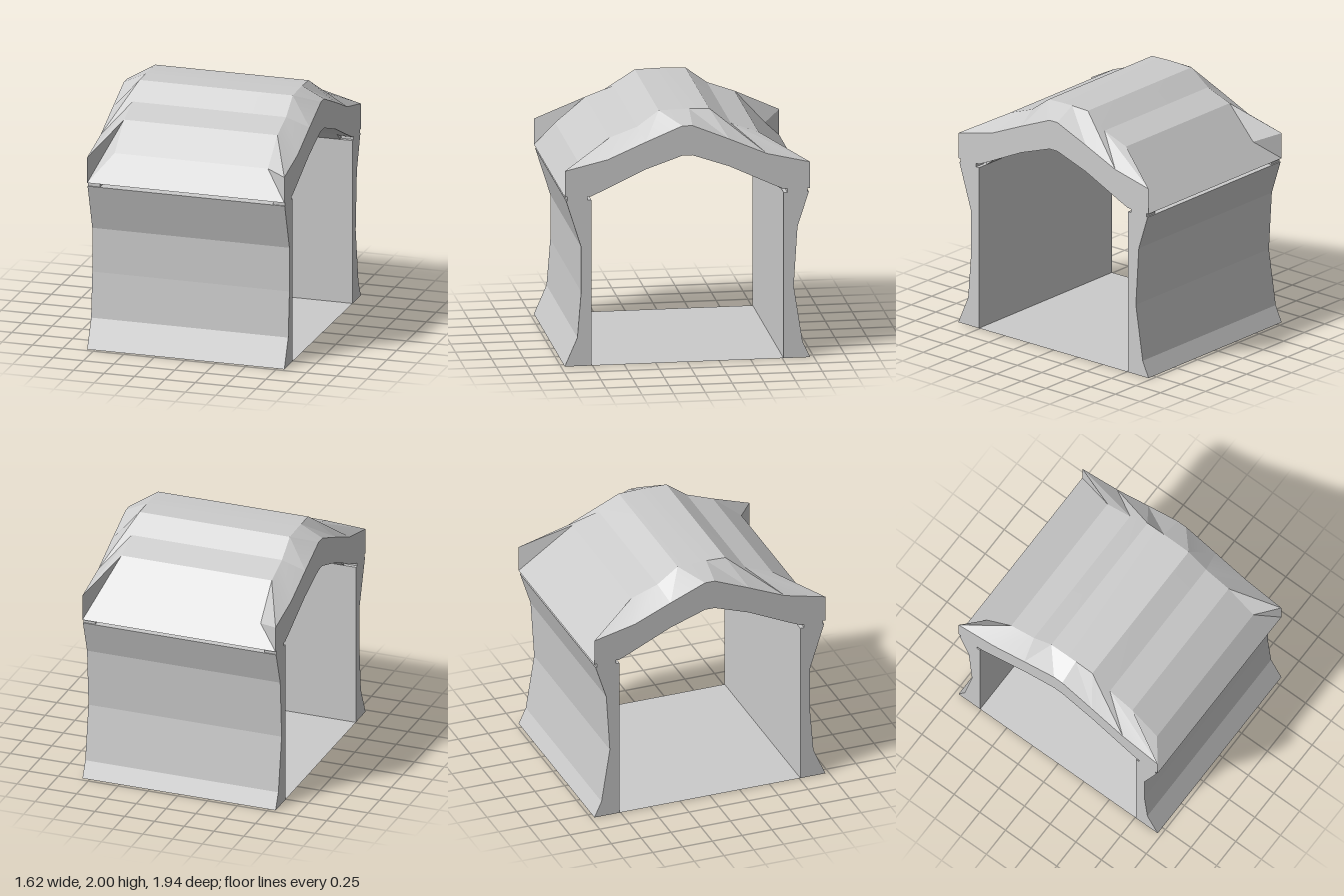
import * as THREE from 'three';
import { toCreasedNormals } from 'three/addons/utils/BufferGeometryUtils.js';

const W = 0.81; // half width along x

const flatMat = new THREE.MeshStandardMaterial({ color: 0xcccccc, flatShading: true, side: THREE.DoubleSide });
const smoothMat = new THREE.MeshStandardMaterial({ color: 0xcccccc, side: THREE.DoubleSide });

function addMesh(group, name, geometry, material = flatMat) {
  const mesh = new THREE.Mesh(geometry, material);
  mesh.name = name;
  group.add(mesh);
  return mesh;
}

// Extrude a [z, y] profile along x, centred on x = 0
function prism(profile, halfWidth) {
  const shape = new THREE.Shape(profile.map(([z, y]) => new THREE.Vector2(-z, y)));
  const geo = new THREE.ExtrudeGeometry(shape, { depth: 2 * halfWidth, bevelEnabled: false });
  geo.translate(0, 0, -halfWidth);
  geo.rotateY(Math.PI / 2);
  return geo;
}

// Complete a front half profile with its mirror behind the ridge
const mirrored = (half) => [...half, ...half.map(([z, y]) => [-z, y]).reverse()];

// Roof shell lofted across x: gable ends are lower, the middle is raised
function roofGeometry() {
  const gable = mirrored([[0.97, 1.37], [0.97, 1.58], [0.63, 1.66], [0.33, 1.79], [0.04, 1.91]]);
  const middle = mirrored([[0.83, 1.59], [0.59, 1.79], [0.37, 1.87], [0.2, 1.995], [0.04, 2]]);
  middle[middle.length - 1] = [-0.83, 1.525]; // back eave runs straight
  const under = mirrored([[0.97, 1.37], [0.76, 1.37], [0.67, 1.41], [0.33, 1.57], [0.04, 1.67]]);
  const n = under.length;

  const stations = [[-W, gable], [-0.63, middle], [0.63, middle], [W, gable]];
  const rings = stations.map(([x, top]) =>
    [...top, ...[...under].reverse()].map(([z, y]) => new THREE.Vector3(x, y, z)));

  const positions = [];
  const tri = (a, b, c) => {
    if (new THREE.Triangle(a, b, c).getArea() < 1e-6) return;
    for (const v of [a, b, c]) positions.push(v.x, v.y, v.z);
  };
  const quad = (a, b, c, d) => { tri(a, b, c); tri(a, c, d); };

  // Skin between neighbouring stations
  for (let i = 0; i < 3; i++) {
    for (let j = 0; j < 2 * n; j++) {
      const k = (j + 1) % (2 * n);
      quad(rings[i][j], rings[i + 1][j], rings[i + 1][k], rings[i][k]);
    }
  }
  // Gable faces, joining each top point to the one below
  const [left, right] = [rings[3], rings[0]];
  for (let j = 0; j < n - 1; j++) {
    const b = 2 * n - 1 - j;
    quad(left[j], left[b], left[b - 1], left[j + 1]);
    quad(right[j], right[j + 1], right[b - 1], right[b]);
  }
  const geo = new THREE.BufferGeometry();
  geo.setAttribute('position', new THREE.Float32BufferAttribute(positions, 3));
  return toCreasedNormals(geo, 0.2);
}

export function createModel() {
  const model = new THREE.Group();
  model.name = 'shelter';

  // Walls with waisted outer faces
  addMesh(model, 'frontWall', prism([[0.76, 0], [0.97, 0], [0.87, 0.23], [0.84, 0.6],
    [0.84, 0.96], [0.96, 1.34], [0.76, 1.34]], W));
  addMesh(model, 'backWall', prism([[-0.76, 0], [-0.97, 0], [-0.91, 0.13], [-0.84, 0.58],
    [-0.87, 1.06], [-0.96, 1.34], [-0.76, 1.34]], W));

  // Thin floor between the walls
  const floor = new THREE.PlaneGeometry(2 * W, 1.52);
  floor.rotateX(-Math.PI / 2);
  addMesh(model, 'floor', floor);

  // Joint between wall tops and roof: recessed strip and corner spacers
  for (const s of [1, -1]) {
    addMesh(model, 'jointStrip', prism([[0.78 * s, 1.37], [0.76 * s, 1.34], [0.67 * s, 1.41]], 0.71));
    for (const side of [1, -1]) {
      const spacer = addMesh(model, 'cornerSpacer', new THREE.BoxGeometry(0.1, 0.03, 0.16));
      spacer.position.set(0.76 * side, 1.355, 0.87 * s);
    }
  }

  addMesh(model, 'roof', roofGeometry(), smoothMat);
  return model;
}
